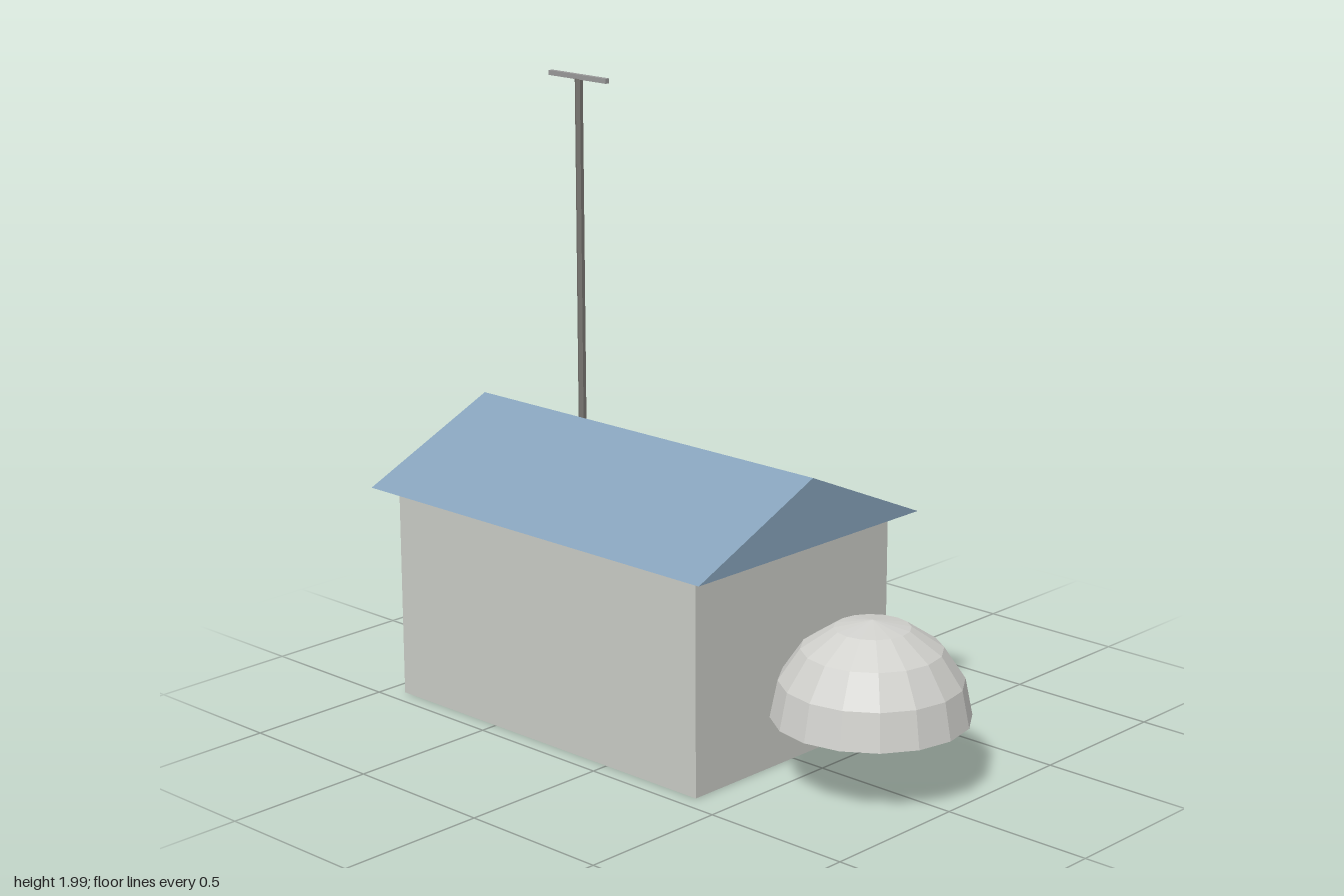
import * as THREE from 'three';

const material = (name, color, extra = {}) => {
  const m = new THREE.MeshStandardMaterial({ color, flatShading: true, ...extra });
  m.name = name;
  return m;
};

// Gabled roof shell: two slopes and two triangular ends, open underneath
function gableRoof(x0, x1, halfDepth, eaveY, ridgeY) {
  const corners = [x0, x1].flatMap((x) => [
    [x, eaveY, halfDepth], [x, ridgeY, 0], [x, eaveY, -halfDepth],
  ]);
  const faces = [
    0, 3, 4, 0, 4, 1, // front slope
    5, 2, 1, 5, 1, 4, // back slope
    0, 1, 2, 3, 5, 4, // gable ends
  ];
  const geometry = new THREE.BufferGeometry();
  geometry.setAttribute('position',
    new THREE.Float32BufferAttribute(faces.flatMap((i) => corners[i]), 3));
  geometry.computeVertexNormals();
  return geometry;
}

export function createModel() {
  const model = new THREE.Group();
  model.name = 'stationHut';

  const wallGrey = material('wallGrey', 0xc8cac4);
  const roofBlue = material('roofBlue', 0x86a2ba, { side: THREE.DoubleSide });
  const domeGrey = material('domeGrey', 0xd0d0cc, { side: THREE.DoubleSide });
  const mastGrey = material('mastGrey', 0x76746f);
  const barGrey = material('barGrey', 0x989898);

  const add = (name, geometry, mat, x = 0, y = 0, z = 0) => {
    const mesh = new THREE.Mesh(geometry, mat);
    mesh.name = name;
    mesh.position.set(x, y, z);
    model.add(mesh);
    return mesh;
  };

  // Building
  add('walls', new THREE.BoxGeometry(1.315, 0.706, 0.886), wallGrey, -0.278, 0.353, 0);
  add('roof', gableRoof(-1, 0.45, 0.505, 0.706, 0.926), roofBlue);

  // Faceted half dome with a flat underside
  const radius = 0.308;
  add('dome', new THREE.SphereGeometry(radius, 16, 4, 0, Math.PI * 2, 0, Math.PI / 2),
    domeGrey, 0.692, 0.224, 0);
  add('domeBase', new THREE.CircleGeometry(radius, 16).rotateX(Math.PI / 2),
    domeGrey, 0.692, 0.224, 0);

  // Antenna rising from the back slope
  const mastBottom = 0.8, mastTop = 1.978;
  add('antennaMast', new THREE.CylinderGeometry(0.0135, 0.0135, mastTop - mastBottom, 6),
    mastGrey, -0.762, (mastBottom + mastTop) / 2, -0.221);
  add('antennaBar', new THREE.BoxGeometry(0.262, 0.016, 0.016), barGrey, -0.762, 1.984, -0.221);

  return model;
}
